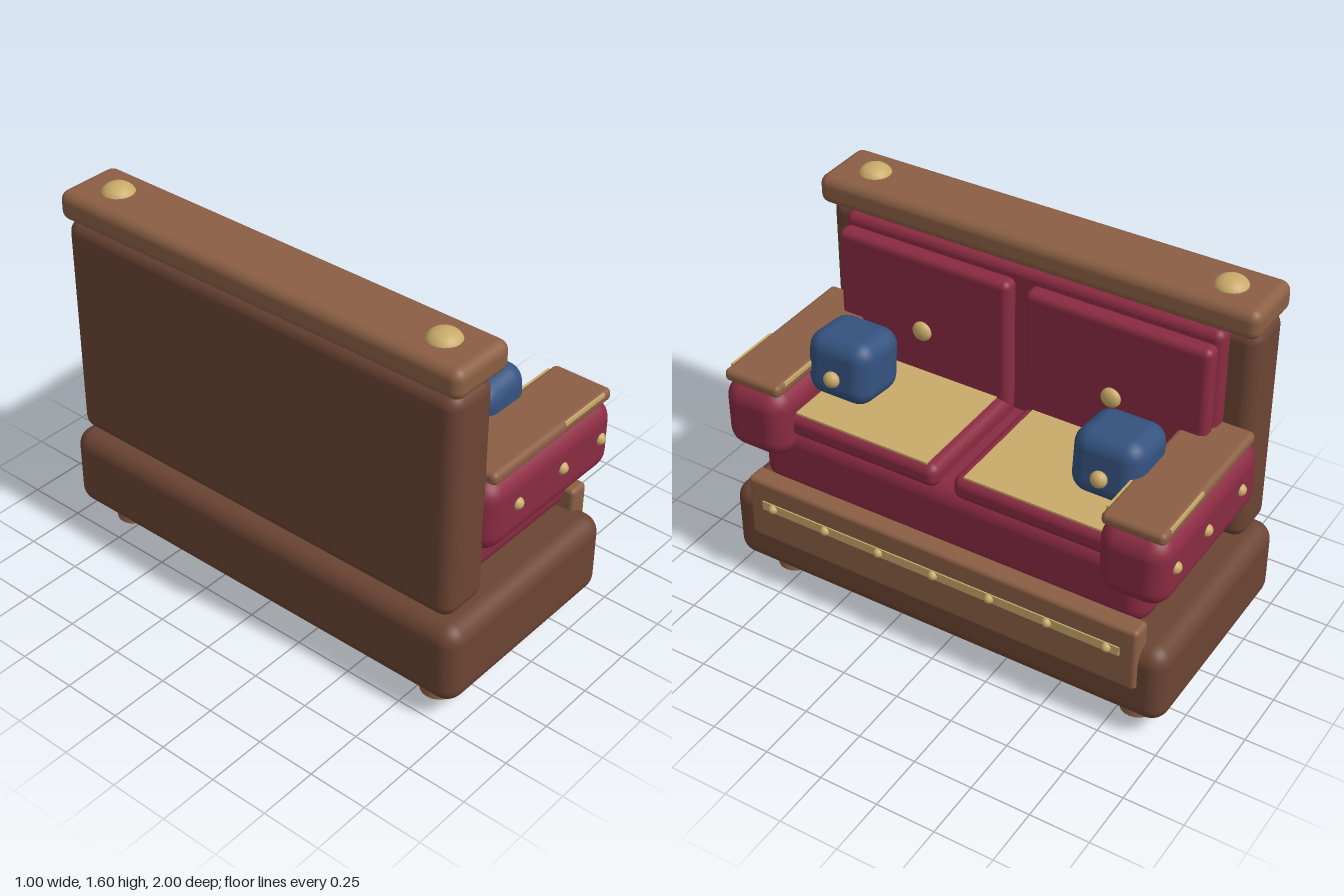
import * as THREE from 'three';
import { RoundedBoxGeometry } from 'three/addons/geometries/RoundedBoxGeometry.js';

const paint = (name, color) => {
  const m = new THREE.MeshStandardMaterial({ color });
  m.name = name;
  return m;
};

export function createModel() {
  const darkWood = paint('darkWood', 0x6b4433);
  const lightWood = paint('lightWood', 0x8b5f44);
  const fabric = paint('burgundyFabric', 0x8a2b42);
  const gold = paint('gold', 0xc9aa69);
  const blue = paint('blueFabric', 0x34527f);

  const sofa = new THREE.Group();
  sofa.name = 'sofa';

  const add = (name, geometry, material, x, y, z) => {
    const mesh = new THREE.Mesh(geometry, material);
    mesh.name = name;
    mesh.position.set(x, y, z);
    sofa.add(mesh);
    return mesh;
  };
  // Box given by its [min, max] range on each axis; rounded when r > 0
  const block = (name, material, [x0, x1], [y0, y1], [z0, z1], r = 0) => {
    const size = [x1 - x0, y1 - y0, z1 - z0];
    const geometry = r ? new RoundedBoxGeometry(...size, 5, r) : new THREE.BoxGeometry(...size);
    return add(name, geometry, material, (x0 + x1) / 2, (y0 + y1) / 2, (z0 + z1) / 2);
  };
  // Sphere squashed by its three radii
  const ball = (name, x, y, z, rx, ry = rx, rz = rx) =>
    add(name, new THREE.SphereGeometry(1, 20, 14), gold, x, y, z).scale.set(rx, ry, rz);
  // Range mirrored to the other side
  const flip = ([a, b], s) => (s > 0 ? [a, b] : [-b, -a]);

  // Plinth and front board
  block('base', darkWood, [-0.5, 0.46], [0.085, 0.44], [-0.99, 0.99], 0.075);
  block('frontBoard', lightWood, [0.385, 0.475], [0.245, 0.535], [-0.885, 0.885], 0.02);
  block('frontTrim', gold, [0.472, 0.481], [0.4, 0.44], [-0.815, 0.815]);
  for (let i = -3; i <= 3; i++) ball('frontStud', 0.48, 0.42, i * 0.254, 0.02);

  // Seat body, backrest frame and top rail
  block('seatBody', fabric, [-0.33, 0.4], [0.475, 0.79], [-0.87, 0.87], 0.08);
  block('backFrame', darkWood, [-0.48, -0.25], [0.47, 1.44], [-0.945, 0.945], 0.06);
  block('backPanel', fabric, [-0.29, -0.185], [0.7, 1.44], [-0.83, 0.83], 0.035);
  block('topRail', lightWood, [-0.49, -0.195], [1.435, 1.56], [-0.96, 0.96], 0.042);

  for (const s of [1, -1]) {
    // Feet
    for (const x of [-0.34, 0.295])
      add('foot', new THREE.CylinderGeometry(0.062, 0.074, 0.1, 20), lightWood, x, 0.05, s * 0.815);

    // Knob on the rail
    ball('railKnob', -0.34, 1.545, s * 0.78, 0.07, 0.05, 0.07);

    // Seat and back cushions
    block('seatCushion', fabric, [-0.2, 0.4], [0.757, 0.86], flip([0.035, 0.82], s), 0.04);
    block('seatPanel', gold, [-0.15, 0.38], [0.857, 0.866], flip([0.082, 0.775], s));
    block('backCushion', fabric, [-0.2, -0.12], [0.8, 1.395], flip([0.035, 0.82], s), 0.03);
    ball('backButton', -0.115, 1.057, s * 0.425, 0.025, 0.042, 0.042);

    // Armrest with wooden top, trim strips and studs
    block('armrest', fabric, [-0.305, 0.485], [0.665, 0.975], flip([0.69, 0.98], s), 0.085);
    block('armTop', lightWood, [-0.26, 0.465], [0.967, 1.02], flip([0.705, 0.965], s), 0.022);
    for (const z of [0.71, 0.96])
      block('armTrim', gold, [0.165, 0.415], [0.998, 1.019], flip([z - 0.0045, z + 0.0045], s));
    for (const x of [-0.13, 0.145, 0.387]) ball('armStud', x, 0.835, s * 0.975, 0.025);

    // Throw pillow
    const pillow = block('pillow', blue, [-0.015, 0.255], [0.863, 1.138], flip([0.445, 0.74], s), 0.075);
    pillow.rotation.z = 0.1;
    ball('pillowButton', 0.27, 0.992, s * 0.592, 0.028, 0.034, 0.034);
  }
  return sofa;
}
